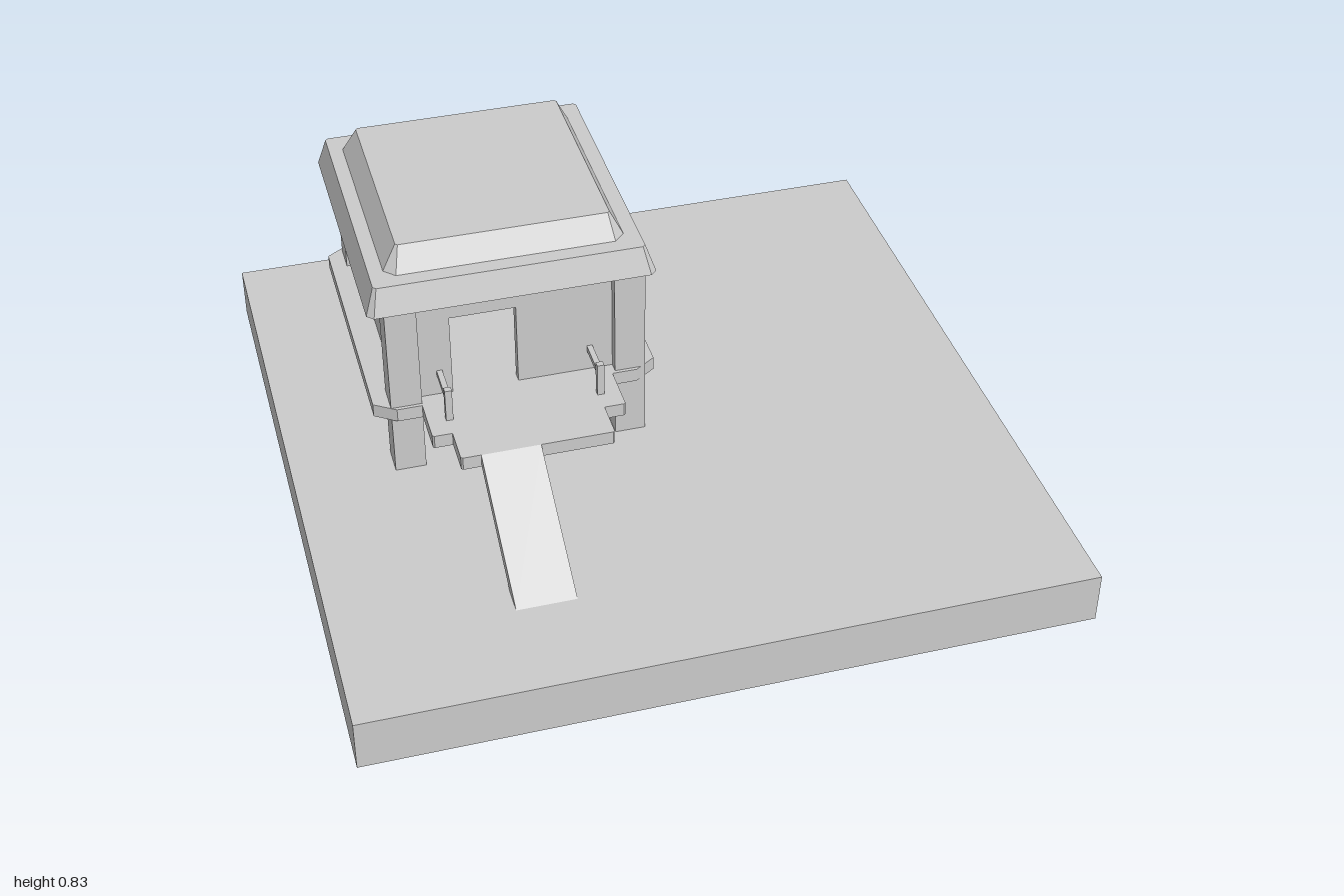
import * as THREE from 'three';

const material = new THREE.MeshStandardMaterial({ color: 0xcccccc, flatShading: true, side: THREE.DoubleSide });

function add(parent, name, geometry) {
  const mesh = new THREE.Mesh(geometry, material);
  mesh.name = name;
  parent.add(mesh);
  return mesh;
}

// Box given by its minimum and maximum on each axis
function box(parent, name, [x0, x1], [y0, y1], [z0, z1]) {
  const mesh = add(parent, name, new THREE.BoxGeometry(x1 - x0, y1 - y0, z1 - z0));
  mesh.position.set((x0 + x1) / 2, (y0 + y1) / 2, (z0 + z1) / 2);
  return mesh;
}

// Rectangle with cut corners, as [x, z] points
function cutRect([x0, x1], [z0, z1], cx, cz) {
  return [
    [x0 + cx, z0], [x1 - cx, z0], [x1, z0 + cz], [x1, z1 - cz],
    [x1 - cx, z1], [x0 + cx, z1], [x0, z1 - cz], [x0, z0 + cz],
  ];
}

// Flat slab extruded upwards from an outline of [x, z] points
function slab(parent, name, outline, y0, y1) {
  const shape = new THREE.Shape(outline.map(([x, z]) => new THREE.Vector2(x, -z)));
  const geometry = new THREE.ExtrudeGeometry(shape, { depth: y1 - y0, bevelEnabled: false });
  geometry.rotateX(-Math.PI / 2).translate(0, y0, 0);
  return add(parent, name, geometry);
}

// Closed solid between two outlines with the same number of points
function tier(parent, name, lower, y0, upper, y1) {
  const n = lower.length;
  const pos = [];
  const index = [];
  lower.forEach(([x, z]) => pos.push(x, y0, z));
  upper.forEach(([x, z]) => pos.push(x, y1, z));
  for (let i = 0; i < n; i++) {
    const j = (i + 1) % n;
    index.push(i, n + i, j, j, n + i, n + j);
    if (i > 0 && i < n - 1) index.push(0, i, i + 1, n, n + i + 1, n + i);
  }
  const geometry = new THREE.BufferGeometry();
  geometry.setAttribute('position', new THREE.Float32BufferAttribute(pos, 3));
  geometry.setIndex(index);
  const flat = geometry.toNonIndexed();
  flat.computeVertexNormals();
  return add(parent, name, flat);
}

export function createModel() {
  const model = new THREE.Group();
  model.name = 'stiltHut';

  box(model, 'ground', [-1, 1], [0, 0.15], [-1, 1]);

  // Corner posts running from the ground to the roof
  const posts = new THREE.Group();
  posts.name = 'cornerPosts';
  model.add(posts);
  for (const x of [-0.715, -0.08])
    for (const z of [-0.72, -0.015])
      box(posts, 'cornerPost', [x, x + 0.087], [0.15, 0.7], [z, z + 0.085]);

  // Raised floor and stepped front porch
  slab(model, 'floor', cutRect([-0.76, 0.04], [-0.74, 0.08], 0.06, 0.04), 0.33, 0.37);
  slab(model, 'porch', [
    [-0.63, 0.08], [-0.63, 0.215], [-0.625, 0.22], [-0.575, 0.22], [-0.575, 0.325], [-0.57, 0.33],
    [-0.155, 0.33], [-0.15, 0.325], [-0.15, 0.22], [-0.095, 0.22], [-0.09, 0.215], [-0.09, 0.08],
  ].reverse(), 0.33, 0.37);

  // Walls, set back from the outer faces of the posts
  const walls = new THREE.Group();
  walls.name = 'walls';
  model.add(walls);
  const height = [0.37, 0.7];
  box(walls, 'rightWall', [-0.685, -0.655], height, [-0.64, -0.01]);
  box(walls, 'leftWall', [-0.05, -0.02], height, [-0.64, -0.01]);
  box(walls, 'backWall', [-0.635, -0.07], height, [-0.69, -0.66]);
  box(walls, 'frontWall', [-0.635, -0.535], height, [0.01, 0.04]);
  box(walls, 'frontWall', [-0.35, -0.07], height, [0.01, 0.04]);
  box(walls, 'doorLintel', [-0.535, -0.35], [0.62, 0.7], [0.01, 0.04]);

  // Two-tier roof
  tier(model, 'eaves',
    cutRect([-0.76, 0.04], [-0.745, 0.08], 0.018, 0.018), 0.685,
    cutRect([-0.735, 0.013], [-0.72, 0.055], 0.008, 0.008), 0.765);
  tier(model, 'roofCap',
    cutRect([-0.695, -0.03], [-0.68, 0.01], 0.03, 0.03), 0.765,
    cutRect([-0.655, -0.065], [-0.64, -0.03], 0.006, 0.006), 0.835);

  // Ramp, drawn as a side profile in (z, y) and extruded along x
  const profile = new THREE.Shape([[0.33, 0.33], [0.635, 0.15], [0.71, 0.15], [0.33, 0.37]]
    .map(([z, y]) => new THREE.Vector2(z, y)));
  const ramp = new THREE.ExtrudeGeometry(profile, { depth: 0.165, bevelEnabled: false });
  ramp.rotateY(-Math.PI / 2).translate(-0.355, 0, 0);
  add(model, 'ramp', ramp);

  // Handrails either side of the entrance
  for (const x of [-0.57, -0.145]) {
    const handrail = new THREE.Group();
    handrail.name = 'handrail';
    model.add(handrail);
    box(handrail, 'handrailPost', [x - 0.01, x + 0.01], [0.37, 0.47], [0.145, 0.163]);
    box(handrail, 'handrailBar', [x - 0.008, x + 0.008], [0.433, 0.45], [0.04, 0.15]);
  }

  return model;
}
